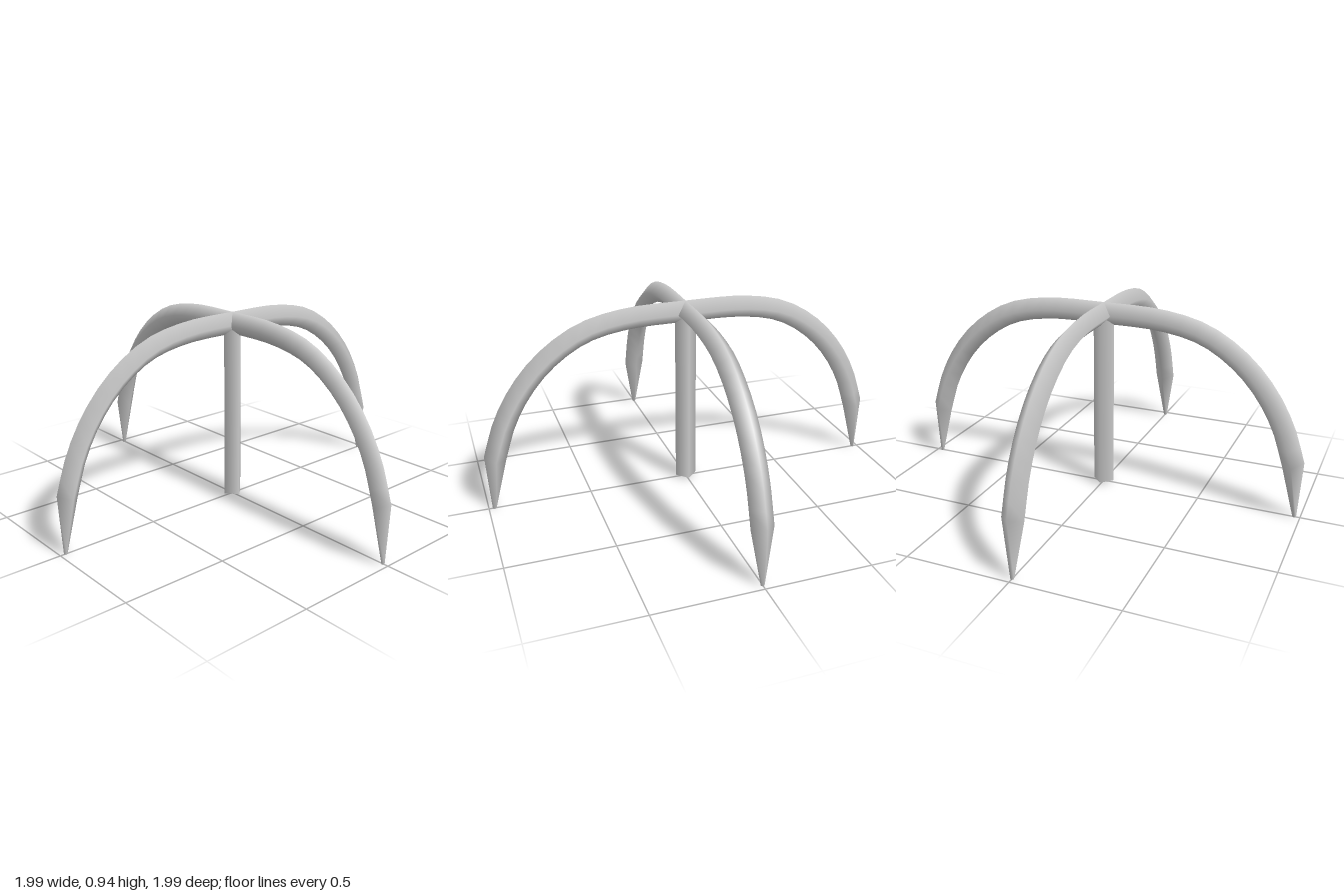
import * as THREE from 'three';

const material = new THREE.MeshStandardMaterial({ color: 0xcccccc });
const R = 0.053; // half diagonal of the diamond-shaped bars

// Sweeps a diamond section along a path in the xy plane; each ring is {p, t, r}
function sweepDiamond(rings) {
  const pos = [], index = [];
  for (const { p, t, r } of rings) {
    for (let k = 0; k < 4; k++) {
      const a = (k * Math.PI) / 2;
      const n = r * Math.cos(a), b = r * Math.sin(a);
      pos.push(p.x - t.y * n, p.y + t.x * n, b);
    }
  }
  for (let i = 0; i < rings.length - 1; i++) {
    for (let k = 0; k < 4; k++) {
      const a = i * 4 + k, b = i * 4 + ((k + 1) % 4);
      index.push(a, b, a + 4, b, b + 4, a + 4);
    }
  }
  // end caps with their own corners, so the tips stay crisp
  for (const [ring, flip] of [[0, true], [rings.length - 1, false]]) {
    const base = pos.length / 3;
    pos.push(...pos.slice(ring * 12, ring * 12 + 12));
    const [a, b, c, d] = [base, base + 1, base + 2, base + 3];
    index.push(...(flip ? [a, c, b, a, d, c] : [a, b, c, a, c, d]));
  }
  const geometry = new THREE.BufferGeometry();
  geometry.setAttribute('position', new THREE.Float32BufferAttribute(pos, 3));
  geometry.setIndex(index);
  geometry.computeVertexNormals();
  return geometry;
}

// One arch: two bowed legs joined at the crown, each ending in a tapered foot
function archGeometry() {
  const half = [[0.947, 0.265], [0.885, 0.445], [0.79, 0.605], [0.665, 0.735], [0.5, 0.835], [0.3, 0.88]];
  const points = [
    ...half.map(([x, y]) => new THREE.Vector3(-x, y, 0)),
    new THREE.Vector3(0, 0.887, 0),
    ...half.slice().reverse().map(([x, y]) => new THREE.Vector3(x, y, 0)),
  ];
  const curve = new THREE.CatmullRomCurve3(points);
  const rings = [];
  const segments = 32;
  for (let i = 0; i <= segments; i++) {
    const u = i / segments;
    rings.push({ p: curve.getPointAt(u), t: curve.getTangentAt(u), r: R });
  }
  const foot = (s) => ({ p: new THREE.Vector3(s * 0.973, 0, 0), t: new THREE.Vector3(0, -s, 0), r: 0.009 });
  return sweepDiamond([foot(-1), ...rings, foot(1)]);
}

export function createModel() {
  const model = new THREE.Group();
  model.name = 'fourLeggedFrame';

  // crossing arches
  const geometry = archGeometry();
  ['sideArch', 'frontBackArch'].forEach((name, i) => {
    const arch = new THREE.Mesh(geometry, material);
    arch.name = name;
    arch.rotation.y = (i * Math.PI) / 2;
    model.add(arch);
  });

  // central post, hanging just above the ground
  const post = new THREE.Mesh(new THREE.CylinderGeometry(R, R, 0.875, 4), material);
  post.name = 'centrePost';
  post.position.y = 0.01 + 0.875 / 2;
  model.add(post);

  return model;
}
